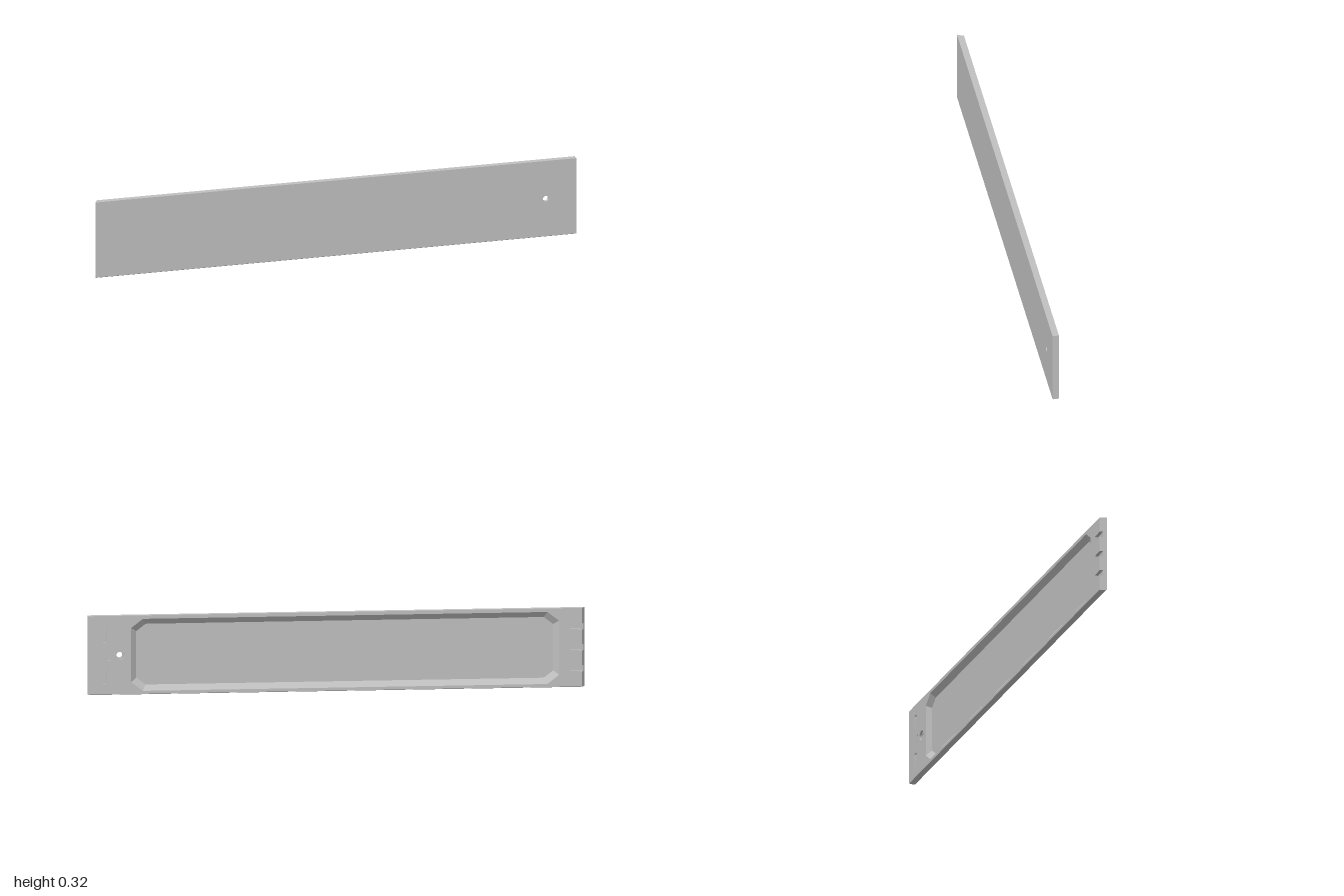
import * as THREE from 'three';

const H = 0.32, MID = H / 2, ZF = 0.013, ZB = -0.013;
const ZNOTCH = 0, ZSLOT = 0, ZBORE = -0.004, ZPOCKET = 0.005;
const HOLE_X = 0.873;
const NOTCHES = [0.245, 0.16, 0.075], NOTCH_H = 0.012, NOTCH_X = -0.94;

const v = (x, y) => new THREE.Vector2(x, y);

// left end leans inwards towards the back
const leftX = z => -1 + 0.012 * (ZF - z) / (ZF - ZB);

// counter-clockwise outline of the panel at depth z
function outline(z, notched, bottom = 0) {
  const x = leftX(z), pts = [v(x, bottom), v(1, bottom), v(1, H), v(x, H)];
  if (notched) for (const y of NOTCHES) {
    pts.push(v(x, y + NOTCH_H), v(NOTCH_X, y + NOTCH_H * 0.8), v(NOTCH_X, y - NOTCH_H * 0.8), v(x, y - NOTCH_H));
  }
  return pts;
}

// rectangle with cut corners
function octagon(x0, x1, y0, y1, c, d) {
  return [v(x0 + c, y0), v(x1 - c, y0), v(x1, y0 + d), v(x1, y1 - d),
    v(x1 - c, y1), v(x0 + c, y1), v(x0, y1 - d), v(x0, y0 + d)];
}

function circle(x, y, r, n = 24) {
  return Array.from({ length: n }, (_, i) => v(x + r * Math.cos(i / n * 2 * Math.PI), y + r * Math.sin(i / n * 2 * Math.PI)));
}

// flat strip of walls joining two loops with equal point counts
function loft(a, za, b, zb) {
  const p = [];
  a.forEach((_, i) => {
    const j = (i + 1) % a.length;
    const A = [a[i].x, a[i].y, za], B = [b[i].x, b[i].y, zb], C = [b[j].x, b[j].y, zb], D = [a[j].x, a[j].y, za];
    p.push(...A, ...B, ...C, ...A, ...C, ...D);
  });
  const g = new THREE.BufferGeometry();
  g.setAttribute('position', new THREE.Float32BufferAttribute(p, 3));
  g.computeVertexNormals();
  return g;
}

// flat face at depth z, facing the front or the back
function face(loop, z, back, holes = []) {
  const s = new THREE.Shape(loop);
  s.holes = holes.map(h => new THREE.Path(h));
  const g = new THREE.ShapeGeometry(s);
  if (back) {
    const ix = g.index.array;
    for (let i = 0; i < ix.length; i += 3) [ix[i], ix[i + 1]] = [ix[i + 1], ix[i]];
    g.computeVertexNormals();
  }
  return g.translate(0, 0, z);
}

export function createModel() {
  const group = new THREE.Group();
  const grey = new THREE.MeshStandardMaterial({ color: 0xc0c0c0 });
  grey.name = 'light grey';
  const add = (name, g) => {
    const m = new THREE.Mesh(g, grey);
    m.name = name;
    group.add(m);
  };

  // openings
  const hole = circle(HOLE_X, MID, 0.012);
  const bore = circle(HOLE_X, MID, 0.02);
  const pocket = octagon(-0.895, 0.827, 0.014, 0.306, 0.047, 0.036);
  const pocketFloor = octagon(-0.873, 0.805, 0.037, 0.283, 0.038, 0.029);
  const slots = [0.244, 0.076].map(y =>
    [v(0.929, y - 0.031), v(0.941, y - 0.031), v(0.947, y + 0.031), v(0.923, y + 0.031)]);
  slots.push([v(0.91, MID - 0.02), v(0.923, MID - 0.02), v(0.923, MID + 0.02), v(0.91, MID + 0.02)]);

  // faces
  add('frontFace', face(outline(ZF, false, 0.002), ZF, false, [hole]));
  add('backFace', face(outline(ZB, true, 0.002), ZB, true, [pocket, bore, ...slots]));

  // outer edge, with softened bottom corners
  const layers = [[ZF, false, 0.002], [ZF - 0.003, false, 0], [ZNOTCH, false, 0]];
  const notchedLayers = [[ZNOTCH, true, 0], [ZB + 0.003, true, 0], [ZB, true, 0.002]];
  for (const set of [layers, notchedLayers]) {
    for (let i = 0; i < 2; i++) {
      const [a, b] = [set[i], set[i + 1]];
      add('edge', loft(outline(...a), a[0], outline(...b), b[0]));
    }
  }

  // notch floors at the left-hand end
  for (const y of NOTCHES) {
    const x = leftX(ZNOTCH);
    add('notchFloor', face([v(x, y - NOTCH_H), v(NOTCH_X, y - NOTCH_H * 0.8),
      v(NOTCH_X, y + NOTCH_H * 0.8), v(x, y + NOTCH_H)], ZNOTCH, true));
  }

  // large pocket with sloping sides
  add('pocketWall', loft(pocket, ZB, pocketFloor, ZPOCKET));
  add('pocketFloor', face(pocketFloor, ZPOCKET, true));

  // tapered hanging slots and small centre slot
  for (const s of slots) {
    add('slotWall', loft(s, ZB, s, ZSLOT));
    add('slotFloor', face(s, ZSLOT, true));
  }

  // counterbored through hole
  add('boreWall', loft(bore, ZB, bore, ZBORE));
  add('boreLedge', face(bore, ZBORE, true, [hole]));
  add('holeWall', loft(hole, ZBORE, hole, ZF));

  return group;
}
